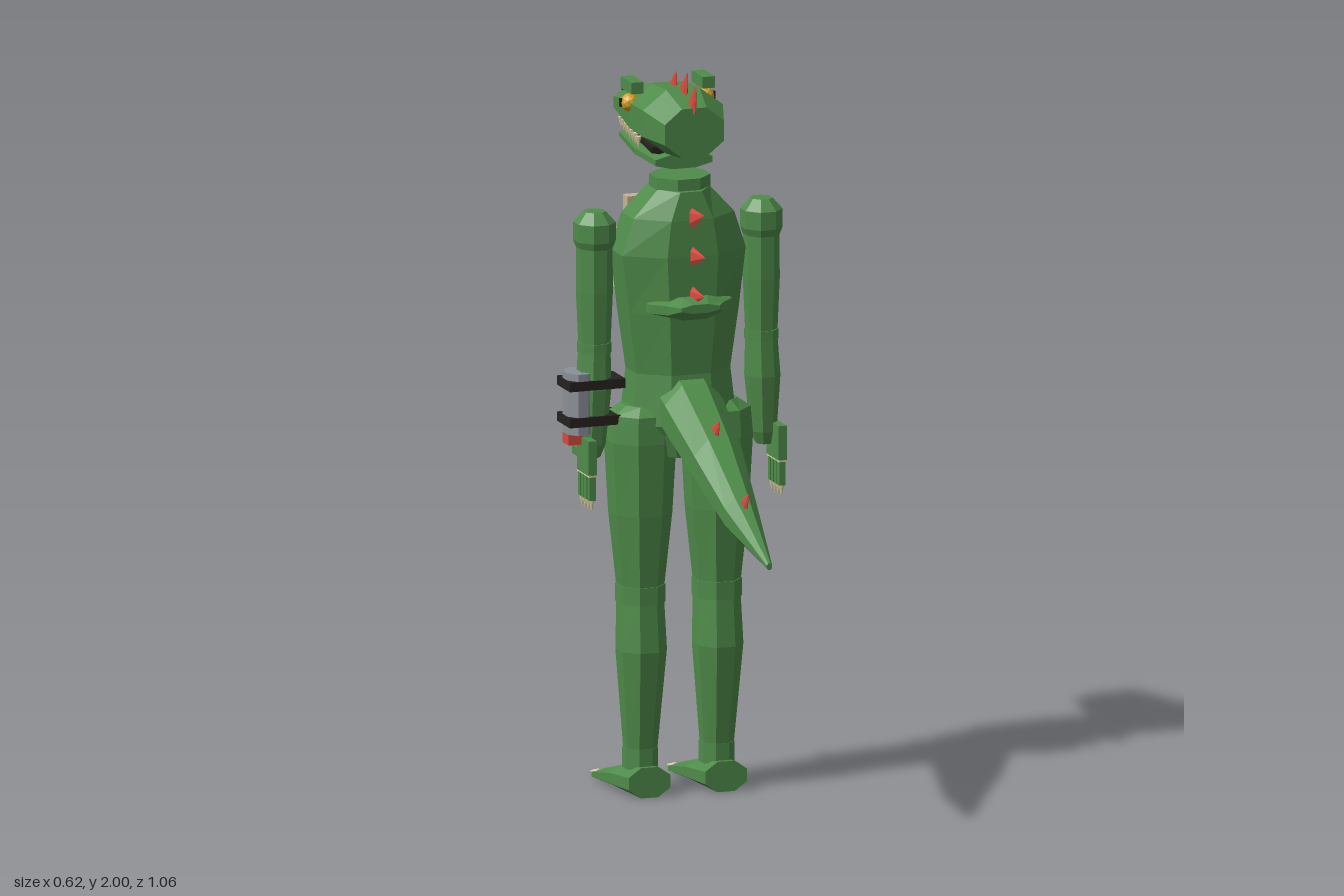
import * as THREE from 'three';

const material = (name, color) => {
  const m = new THREE.MeshStandardMaterial({ color });
  m.name = name;
  return m;
};

export function createModel() {
  const green = material('scale green', 0x4f8c4a);
  const bone = material('claw bone', 0xe0d2a8);
  const belly = material('belly plate', 0xc6b594);
  const red = material('spike red', 0xd84a3e);
  const black = material('dark', 0x26221f);
  const grey = material('metal grey', 0x8b9099);
  const amber = material('eye amber', 0xd6a021);

  const model = new THREE.Group();
  model.name = 'reptile';
  const body = new THREE.Group();
  body.name = 'body';
  body.position.x = 0.013;
  model.add(body);

  // Faceted mesh
  function add(name, geo, mat, parent = body) {
    const g = geo.index ? geo.toNonIndexed() : geo;
    g.computeVertexNormals();
    const mesh = new THREE.Mesh(g, mat);
    mesh.name = name;
    parent.add(mesh);
    return mesh;
  }

  // Octagonal loft; sections are [along, centreX, centreOther, radiusX, radiusOther], ascending
  function loft(name, axis, sections, mat, parent) {
    const n = 8, pos = [], idx = [], k = 1 / Math.cos(Math.PI / n);
    sections.forEach(([t, cx, co, rx, ro]) => {
      for (let j = 0; j < n; j++) {
        const a = ((j + 0.5) / n) * Math.PI * 2;
        const c = Math.cos(a) * k, s = Math.sin(a) * k;
        if (axis === 'y') pos.push(cx + rx * s, t, co + ro * c);
        else pos.push(cx + rx * c, co + ro * s, t);
      }
    });
    const last = (sections.length - 1) * n;
    for (let i = 0; i < last; i += n)
      for (let j = 0; j < n; j++) {
        const q = (j + 1) % n;
        idx.push(i + j, i + q, i + n + q, i + j, i + n + q, i + n + j);
      }
    for (let j = 1; j < n - 1; j++) idx.push(0, j + 1, j, last, last + j, last + j + 1);
    const g = new THREE.BufferGeometry();
    g.setAttribute('position', new THREE.Float32BufferAttribute(pos, 3));
    g.setIndex(idx);
    return add(name, g, mat, parent);
  }

  function box(name, x0, x1, y0, y1, z0, z1, mat, parent) {
    const g = new THREE.BoxGeometry(x1 - x0, y1 - y0, z1 - z0);
    g.translate((x0 + x1) / 2, (y0 + y1) / 2, (z0 + z1) / 2);
    return add(name, g, mat, parent);
  }

  // Cone running from a base point to a tip
  function spike(name, base, tip, r, mat, squash = 1, parent = body) {
    const a = new THREE.Vector3(...base), b = new THREE.Vector3(...tip);
    const dir = b.clone().sub(a), h = dir.length();
    const g = new THREE.ConeGeometry(r, h, 6);
    g.translate(0, h / 2, 0);
    g.scale(squash, 1, 1);
    const m = add(name, g, mat, parent);
    m.position.copy(a);
    m.quaternion.setFromUnitVectors(new THREE.Vector3(0, 1, 0), dir.normalize());
    return m;
  }

  // Head, mouth and jaw
  loft('head', 'z', [
    [-0.53, 0, 1.835, 0.06, 0.037], [-0.4, 0, 1.85, 0.088, 0.06], [-0.26, 0, 1.86, 0.114, 0.083],
    [-0.15, 0, 1.86, 0.115, 0.088], [-0.06, 0, 1.845, 0.085, 0.068],
  ], green);
  loft('mouth', 'z', [[-0.515, 0, 1.785, 0.045, 0.018], [-0.18, 0, 1.777, 0.08, 0.018]], black);
  loft('lowerJaw', 'z', [
    [-0.51, 0, 1.75, 0.052, 0.014], [-0.3, 0, 1.75, 0.084, 0.02], [-0.14, 0, 1.75, 0.082, 0.02],
  ], green);

  // Torso, neck and pelvis
  loft('neck', 'y', [[1.665, 0, -0.175, 0.077, 0.075], [1.708, 0, -0.175, 0.077, 0.075]], green);
  loft('torso', 'y', [
    [1.17, 0, -0.19, 0.135, 0.105], [1.34, 0, -0.19, 0.158, 0.118], [1.5, 0, -0.19, 0.177, 0.12],
    [1.6, 0, -0.19, 0.145, 0.115], [1.676, 0, -0.185, 0.075, 0.1],
  ], green);
  loft('pelvis', 'y', [
    [0.94, 0, -0.19, 0.09, 0.1], [1.03, 0, -0.19, 0.15, 0.12], [1.17, 0, -0.19, 0.135, 0.105],
  ], green);
  loft('backPad', 'z', [
    [-0.12, 0, 1.36, 0.12, 0.03], [-0.09, 0, 1.36, 0.12, 0.03],
    [-0.05, 0, 1.36, 0.08, 0.03], [-0.01, 0, 1.368, 0.055, 0.012],
  ], green);

  // Belly plates: half width, bottom, top, front z
  [[0.105, 1.55, 1.625, -0.335], [0.13, 1.46, 1.535, -0.343], [0.13, 1.37, 1.445, -0.347],
    [0.12, 1.28, 1.355, -0.325], [0.11, 1.18, 1.265, -0.315]].forEach(([w, y0, y1, z]) =>
    box('bellyPlate', -w, w, y0, y1, z, z + 0.035, belly));

  // Tail
  loft('tail', 'z', [
    [-0.12, 0, 1.08, 0.085, 0.09], [-0.06, 0, 1.06, 0.085, 0.088], [0.13, 0, 0.965, 0.07, 0.074],
    [0.31, 0, 0.862, 0.046, 0.054], [0.53, 0, 0.77, 0.008, 0.009],
  ], green);

  // Red spikes on head, back and tail: base z, y, tip z, y
  [[-0.08, 1.91, -0.042, 1.985], [-0.147, 1.935, -0.116, 2.0], [-0.228, 1.93, -0.2, 1.99],
    [-0.08, 1.605, 0.02, 1.632], [-0.08, 1.5, 0.03, 1.517], [-0.08, 1.39, 0.02, 1.407],
    [0.095, 1.04, 0.143, 1.092], [0.322, 0.885, 0.37, 0.937],
  ].forEach(([z0, y0, z1, y1]) => spike('spike', [0, y0, z0], [0, y1, z1], 0.029, red, 0.35));

  for (const s of [-1, 1]) {
    const side = new THREE.Group();
    side.name = s > 0 ? 'leftSide' : 'rightSide';
    body.add(side);
    const span = (a, b) => [Math.min(s * a, s * b), Math.max(s * a, s * b)];

    // Eye, brow, nostril
    const eye = add('eye', new THREE.IcosahedronGeometry(0.026, 1), amber, side);
    eye.position.set(s * 0.108, 1.893, -0.272);
    box('pupil', ...span(0.13, 0.137), 1.883, 1.905, -0.279, -0.269, black, side);
    box('brow', ...span(0.085, 0.12), 1.925, 1.957, -0.313, -0.227, green, side);
    box('nostril', ...span(0.026, 0.04), 1.868, 1.876, -0.522, -0.512, black, side);

    // Teeth along the upper jaw
    for (let i = 0; i < 7; i++) {
      const z = -0.26 - i * 0.04, x = s * (0.088 - i * 0.0065);
      spike('tooth', [x, 1.8, z], [x, 1.765, z], 0.009, bone, 1, side);
    }

    // Arm
    const ax = s * 0.24, az = -0.19;
    const arm = (y, r, dx = 0) => [y, ax + s * dx, az, r, r * 1.06];
    loft('shoulder', 'y', [arm(1.52, 0.046), arm(1.54, 0.053), arm(1.59, 0.053), arm(1.62, 0.028)], green, side);
    loft('upperArm', 'y', [arm(1.25, 0.04), arm(1.4, 0.046), arm(1.53, 0.045)], green, side);
    loft('elbow', 'y', [arm(1.23, 0.043), arm(1.258, 0.043)], green, side);
    loft('forearm', 'y', [
      arm(0.94, 0.022, 0.008), arm(0.975, 0.033, 0.006), arm(1.13, 0.045, 0.003), arm(1.24, 0.04),
    ], green, side);

    // Hand with clawed fingers and thumb
    const hx = 0.273;
    box('palm', ...span(hx - 0.012, hx + 0.012), 0.905, 1.0, -0.205, -0.112, green, side);
    for (let i = 0; i < 4; i++) {
      const z = -0.122 - i * 0.0245, x = s * hx;
      box('finger', ...span(hx - 0.009, hx + 0.009), 0.835, 0.91, z - 0.009, z + 0.009, green, side);
      box('knuckle', ...span(hx - 0.011, hx + 0.011), 0.9, 0.907, z - 0.01, z + 0.01, bone, side);
      spike('fingerClaw', [x, 0.84, z], [x, 0.8, z], 0.009, bone, 1, side);
    }
    box('thumb', ...span(hx - 0.01, hx + 0.01), 0.94, 0.962, -0.25, -0.2, green, side);
    spike('thumbClaw', [s * hx, 0.951, -0.25], [s * hx, 0.948, -0.278], 0.01, bone, 1, side);

    // Leg
    const lx = s * 0.11;
    const leg = (y, rx, rz, z = -0.185) => [y, lx, z, rx, rz];
    loft('thigh', 'y', [
      leg(0.56, 0.058, 0.064), leg(0.78, 0.08, 0.083), leg(0.98, 0.091, 0.09),
      leg(1.055, 0.085, 0.085), leg(1.08, 0.05, 0.06),
    ], green, side);
    loft('knee', 'y', [leg(0.53, 0.062, 0.069), leg(0.58, 0.062, 0.069)], green, side);
    loft('shin', 'y', [
      leg(0.1, 0.041, 0.041), leg(0.4, 0.064, 0.068, -0.178), leg(0.54, 0.059, 0.064),
    ], green, side);
    loft('ankle', 'y', [leg(0.07, 0.045, 0.045), leg(0.127, 0.045, 0.045)], green, side);

    // Foot with three claws
    loft('foot', 'z', [
      [-0.37, lx, 0.015, 0.073, 0.015], [-0.24, lx, 0.033, 0.07, 0.033], [-0.11, lx, 0.042, 0.06, 0.042],
    ], green, side);
    for (const i of [-1, 0, 1]) {
      const x = lx + i * 0.052;
      spike('toeClaw', [x, 0.018, -0.36], [x, 0.01, -0.438], 0.014, bone, 1, side);
    }
  }

  // Forearm device with two straps
  const device = new THREE.Group();
  device.name = 'wristDevice';
  body.add(device);
  loft('deviceCase', 'y', [[1.01, -0.288, -0.192, 0.036, 0.048], [1.18, -0.288, -0.192, 0.036, 0.048]], grey, device);
  box('deviceLight', -0.322, -0.28, 0.98, 1.012, -0.215, -0.17, red, device);
  for (const y of [1.047, 1.147])
    box('strap', -0.328, -0.168, y - 0.013, y + 0.013, -0.242, -0.142, black, device);

  return model;
}
